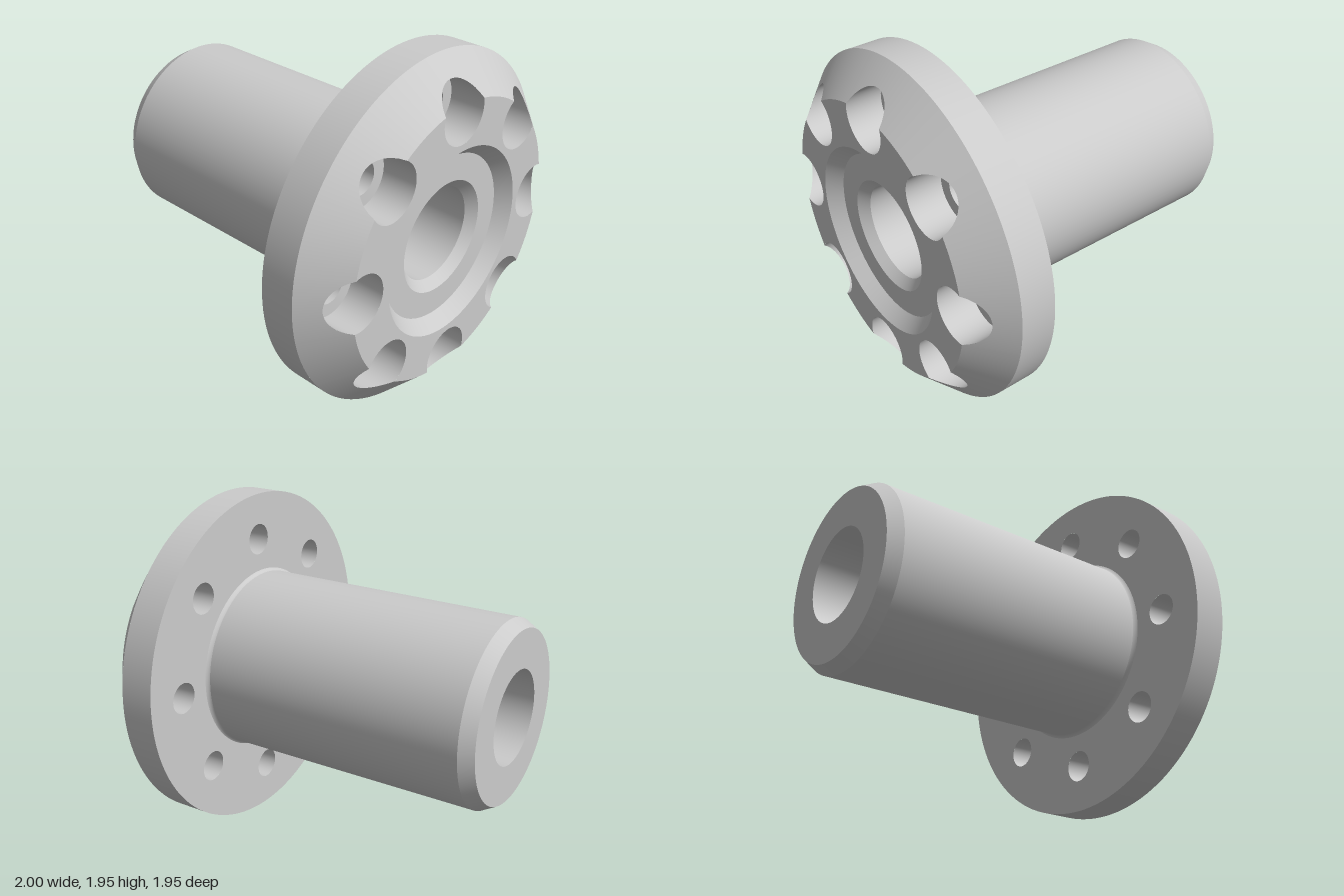
import * as THREE from 'three';

const R = 0.973;            // flange radius
const FACE_R = 0.77;        // radius where the bevel meets the front face
const PITCH = 0.715;        // bolt circle radius
const BORE_R = 0.157;       // counterbore radius
const HOLE_R = 0.087;       // through hole radius
const BACK = 0.61, RIM = 0.805, FRONT = 1;
const HOLES = 8, STEP = (Math.PI * 2) / HOLES;

// Where a counterbore circle crosses the edge of the front face
const CROSS = Math.acos((FACE_R ** 2 + PITCH ** 2 - BORE_R ** 2) / (2 * FACE_R * PITCH));
const BITE = Math.atan2(FACE_R * Math.sin(CROSS), FACE_R * Math.cos(CROSS) - PITCH);

// Height of the front surface (flat face, then bevel) at radius r
const frontZ = (r) => Math.min(FRONT, FRONT - (r - FACE_R) * (FRONT - RIM) / (R - FACE_R));
const polar = (r, a, z) => [r * Math.cos(a), r * Math.sin(a), z];

const material = new THREE.MeshStandardMaterial({ color: 0xcccccc });

function addMesh(group, name, geometry) {
  const mesh = new THREE.Mesh(geometry, material);
  mesh.name = name;
  group.add(mesh);
  return mesh;
}

// Surface of revolution about z from [radius, z] points
function turned(points) {
  const g = new THREE.LatheGeometry(points.map(([r, z]) => new THREE.Vector2(r, z)), 128);
  return g.rotateX(Math.PI / 2);
}

// Closed band between two loops with equal point counts
function band(a, b) {
  const n = a.length, index = [];
  for (let i = 0; i < n; i++) {
    const j = (i + 1) % n;
    index.push(i, n + i, n + j, i, n + j, j);
  }
  const g = new THREE.BufferGeometry();
  g.setAttribute('position', new THREE.Float32BufferAttribute([...a, ...b].flat(), 3));
  g.setIndex(index);
  g.computeVertexNormals();
  return g;
}

function circleHole(x, y, r) {
  return new THREE.Path().absarc(x, y, r, 0, Math.PI * 2, true);
}

// Flat front face, with counterbores biting into its outer edge
function frontFace() {
  const s = new THREE.Shape();
  for (let i = 0; i < HOLES; i++) {
    const t = i * STEP;
    s.absarc(PITCH * Math.cos(t), PITCH * Math.sin(t), BORE_R, t - BITE, t + BITE, true);
    s.absarc(0, 0, FACE_R, t + CROSS, t + STEP - CROSS, false);
  }
  s.holes.push(circleHole(0, 0, 0.52));
  return new THREE.ShapeGeometry(s, 48).translate(0, 0, FRONT);
}

// Bevel whose inner edge follows the face edge and the counterbores
function bevel() {
  const inner = [], outer = [];
  const add = (t, d) => {
    let r = FACE_R;
    if (Math.abs(d) < CROSS) {
      r = PITCH * Math.cos(d) + Math.sqrt(BORE_R ** 2 - (PITCH * Math.sin(d)) ** 2);
    }
    inner.push(polar(r, t + d, frontZ(r)));
    outer.push(polar(R, t + d, RIM));
  };
  for (let i = 0; i < HOLES; i++) {
    for (let k = 0; k < 20; k++) add(i * STEP, CROSS * (k / 10 - 1));
    for (let k = 0; k < 10; k++) add(i * STEP, CROSS + (STEP - 2 * CROSS) * k / 10);
  }
  return band(inner, outer);
}

// Rear flange face with the through holes
function backFace() {
  const s = new THREE.Shape().absarc(0, 0, R, 0, Math.PI * 2, false);
  s.holes.push(circleHole(0, 0, 0.532));
  for (let i = 0; i < HOLES; i++) {
    s.holes.push(circleHole(PITCH * Math.cos(i * STEP), PITCH * Math.sin(i * STEP), HOLE_R));
  }
  return new THREE.ShapeGeometry(s, 64).rotateY(Math.PI).translate(0, 0, BACK);
}

// Loop of points round a bolt hole; z may depend on distance from the main axis
function holeLoop(t, r, z) {
  const loop = [];
  for (let k = 0; k < 48; k++) {
    const a = t + (k / 48) * Math.PI * 2;
    const x = PITCH * Math.cos(t) + r * Math.cos(a);
    const y = PITCH * Math.sin(t) + r * Math.sin(a);
    loop.push([x, y, typeof z === 'function' ? z(Math.hypot(x, y)) : z]);
  }
  return loop;
}

export function createModel() {
  const model = new THREE.Group();
  model.name = 'flangedSleeve';

  // Sleeve: each sharp-edged stretch of the profile is its own surface
  const sleeve = new THREE.Group();
  sleeve.name = 'sleeve';
  addMesh(sleeve, 'sleeveEnd', turned([[0.26, -1], [0.475, -1]]));
  addMesh(sleeve, 'sleeveChamfer', turned([[0.475, -1], [0.517, -0.925]]));
  addMesh(sleeve, 'sleeveWall', turned([[0.517, -0.925], [0.517, 0.59]]));
  addMesh(sleeve, 'sleeveFillet', turned([[0.517, 0.59], [0.521, 0.602], [0.532, BACK]]));
  addMesh(sleeve, 'bore', turned([[0.26, 0.875], [0.26, -1]]));
  addMesh(sleeve, 'boreChamfer', turned([[0.31, 0.925], [0.26, 0.875]]));
  addMesh(sleeve, 'recessFloor', turned([[0.455, 0.925], [0.31, 0.925]]));
  addMesh(sleeve, 'recessWall', turned([[0.52, FRONT], [0.455, 0.925]]));

  // Flange
  const flange = new THREE.Group();
  flange.name = 'flange';
  addMesh(flange, 'flangeRim', turned([[R, BACK], [R, RIM]]));
  addMesh(flange, 'flangeBack', backFace());
  addMesh(flange, 'flangeFace', frontFace());
  addMesh(flange, 'flangeBevel', bevel());

  // Counterbored bolt holes
  for (let i = 0; i < HOLES; i++) {
    const t = i * STEP;
    const hole = new THREE.Group();
    hole.name = 'boltHole' + (i + 1);
    addMesh(hole, 'counterboreWall', band(holeLoop(t, BORE_R, RIM), holeLoop(t, BORE_R, frontZ)));
    addMesh(hole, 'counterboreFloor', band(holeLoop(t, HOLE_R, RIM), holeLoop(t, BORE_R, RIM)));
    addMesh(hole, 'throughHole', band(holeLoop(t, HOLE_R, BACK), holeLoop(t, HOLE_R, RIM)));
    flange.add(hole);
  }

  // Lay the axis along x with the flange at +x, resting on the ground
  model.add(sleeve, flange);
  for (const part of [sleeve, flange]) {
    part.rotation.y = Math.PI / 2;
    part.position.y = R;
  }
  return model;
}
